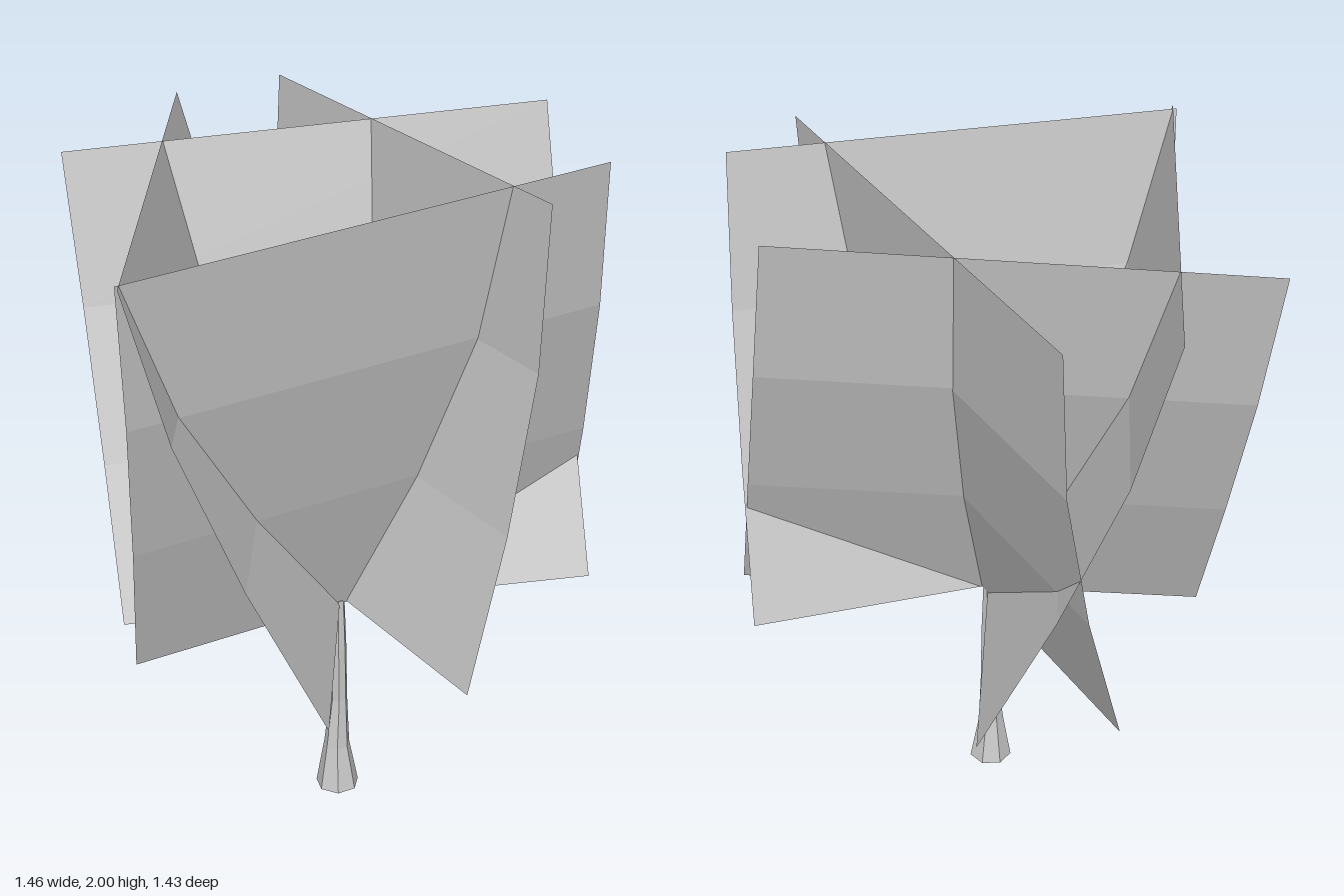
import * as THREE from 'three';

// Curved foliage card: rows of one edge (bottom to top) plus the vector across to the other edge
function card(name, edge, across) {
  const geometry = new THREE.PlaneGeometry(1, 1, 1, edge.length - 1);
  const position = geometry.attributes.position;
  edge.forEach(([x, y, z], row) => {
    const i = (edge.length - 1 - row) * 2;
    position.setXYZ(i, x, y, z);
    position.setXYZ(i + 1, x + across[0], y + across[1], z + across[2]);
  });
  geometry.computeVertexNormals();
  const mesh = new THREE.Mesh(geometry, new THREE.MeshStandardMaterial({
    color: 0xcccccc, flatShading: true, side: THREE.DoubleSide,
  }));
  mesh.name = name;
  return mesh;
}

// Slightly bent trunk with a flared foot; rings are [y, x, z, radius]
function trunk() {
  const rings = [
    [0, 0.01, 0.09, 0.063],
    [0.14, 0.008, 0.09, 0.038],
    [0.3, 0.014, 0.089, 0.025],
    [0.48, 0.012, 0.092, 0.024],
    [0.64, 0.011, 0.092, 0.019],
  ];
  const geometry = new THREE.CylinderGeometry(1, 1, 1, 7, rings.length - 1);
  const position = geometry.attributes.position;
  for (let i = 0; i < position.count; i++) {
    const row = Math.round((position.getY(i) + 0.5) * (rings.length - 1));
    const [y, x, z, r] = rings[row];
    position.setXYZ(i, x + position.getX(i) * r, y, z + position.getZ(i) * r);
  }
  geometry.computeVertexNormals();
  const mesh = new THREE.Mesh(geometry, new THREE.MeshStandardMaterial({ color: 0xcccccc, flatShading: true }));
  mesh.name = 'trunk';
  return mesh;
}

export function createModel() {
  const model = new THREE.Group();
  model.name = 'tree';
  model.add(trunk());

  // Four cards cross at the trunk top and curl outwards as they rise
  model.add(card('backFoliage',
    [[-0.6, 0.57, 0.095], [-0.643, 1, -0.067], [-0.687, 1.43, -0.2], [-0.73, 1.86, -0.28]],
    [1.325, 0.13, 0]));
  model.add(card('rightFoliage',
    [[-0.04, 0.62, 0.715], [-0.25, 1.04, 0.705], [-0.425, 1.46, 0.695], [-0.54, 1.88, 0.685]],
    [0.12, 0.015, -1.335]));
  model.add(card('frontFoliage',
    [[-0.558, 0.575, 0.31], [-0.545, 1.01, 0.455], [-0.54, 1.445, 0.58], [-0.548, 1.88, 0.662]],
    [1.245, 0.12, -0.45]));
  model.add(card('leftFoliage',
    [[0.33, 0.665, 0.63], [0.43, 1.1, 0.55], [0.5, 1.54, 0.488], [0.52, 1.985, 0.45]],
    [-0.645, -0.065, -1.165]));
  return model;
}
